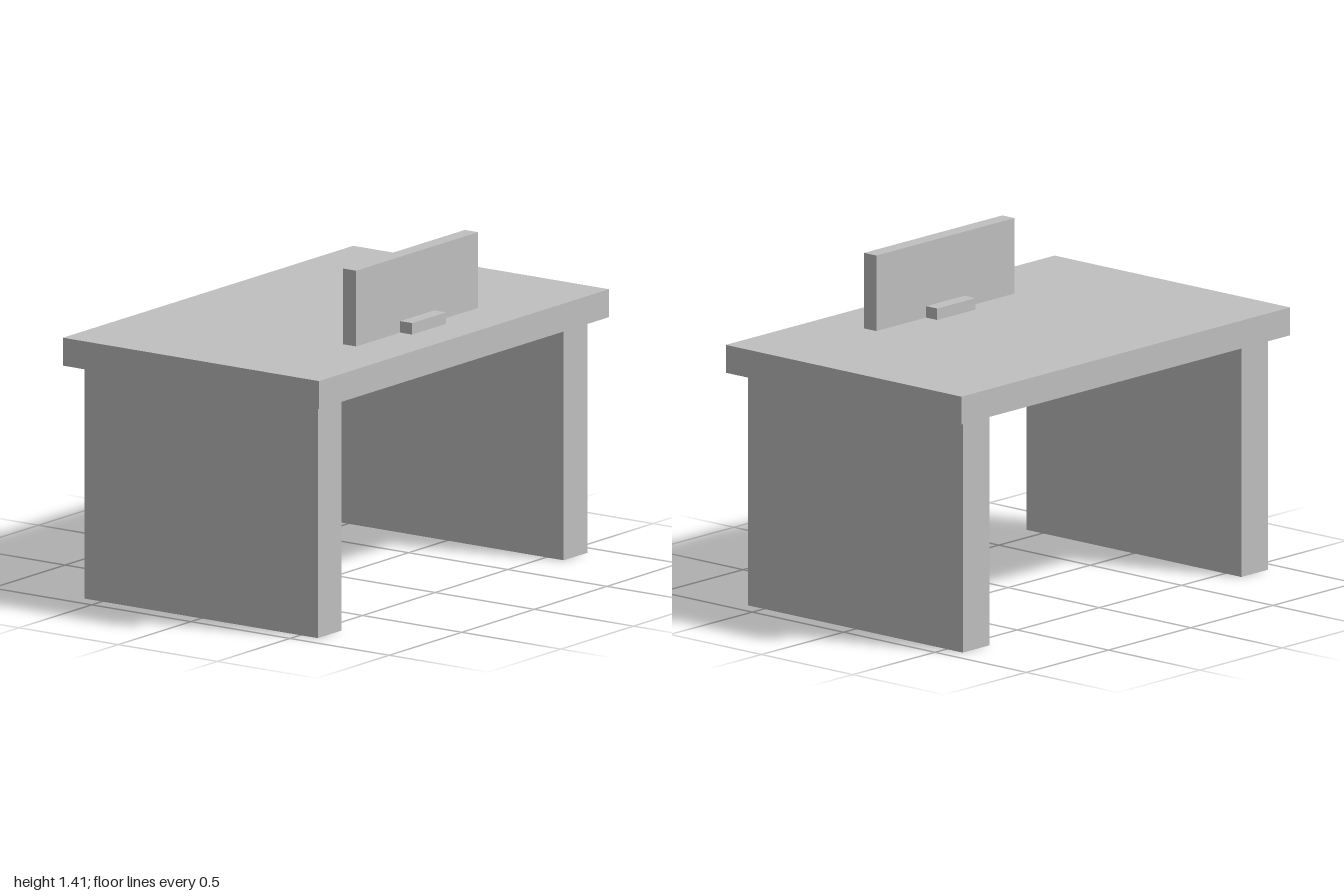
import * as THREE from 'three';

export function createModel() {
  const model = new THREE.Group();
  model.name = 'desk';
  const grey = new THREE.MeshStandardMaterial({ color: 0xc0c0c0 });
  grey.name = 'light grey';

  // Box given by its size, the height of its underside, and its centre in x and z
  const addBox = (name, w, h, d, x, bottom, z) => {
    const mesh = new THREE.Mesh(new THREE.BoxGeometry(w, h, d), grey);
    mesh.name = name;
    mesh.position.set(x, bottom + h / 2, z);
    model.add(mesh);
  };

  // Desk: slab top on two panel legs
  addBox('deskTop', 2, 0.117, 1.29, 0, 0.98, 0);
  for (const side of [1, -1]) {
    addBox(side > 0 ? 'leftLeg' : 'rightLeg', 0.163, 0.98, 1.176, side * 0.847, 0, 0);
  }

  // Upright screen with its small foot
  addBox('screen', 0.84, 0.317, 0.067, 0, 1.097, 0.376);
  addBox('screenFoot', 0.234, 0.048, 0.187, 0, 1.097, 0.376);

  return model;
}
